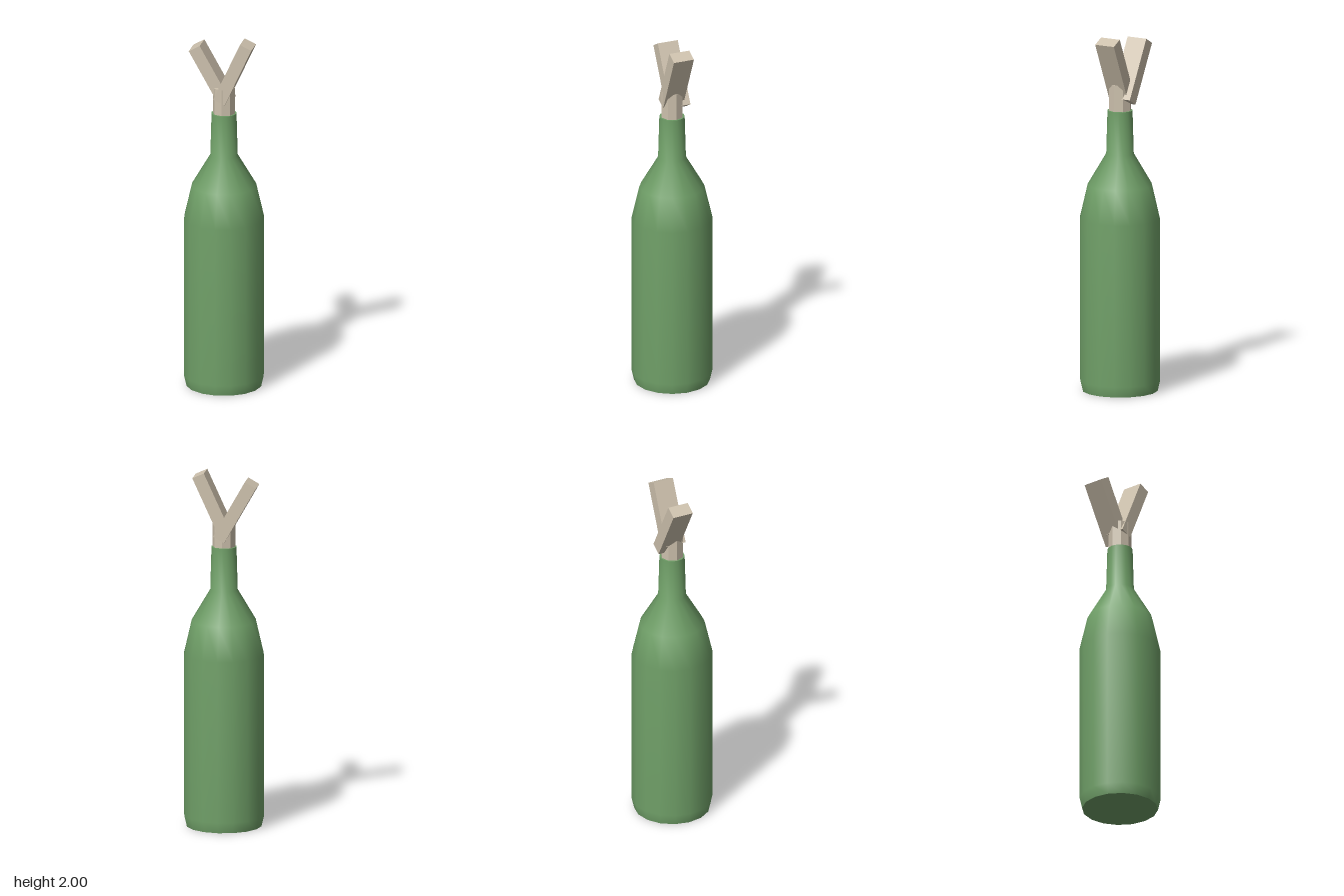
import * as THREE from 'three';

export function createModel() {
  const model = new THREE.Group();
  const glass = new THREE.MeshStandardMaterial({ color: 0x70a068 });
  glass.name = 'green glass';
  const cloth = new THREE.MeshStandardMaterial({ color: 0xcdc1ad });
  cloth.name = 'beige cloth';

  function add(name, geometry, material, x = 0, y = 0, z = 0) {
    const mesh = new THREE.Mesh(geometry, material);
    mesh.name = name;
    mesh.position.set(x, y, z);
    model.add(mesh);
    return mesh;
  }

  // Bottle: smooth 16-sided wall with flat ends
  const profile = [
    [0.21, 0], [0.224, 0.06], [0.224, 0.97], [0.18, 1.16], [0.077, 1.335], [0.07, 1.58],
  ].map(([r, y]) => new THREE.Vector2(r, y));
  add('bottleWall', new THREE.LatheGeometry(profile, 16), glass);
  add('bottleBase', new THREE.CircleGeometry(0.21, 16).rotateX(Math.PI / 2), glass);
  add('bottleMouth', new THREE.CircleGeometry(0.07, 16).rotateX(-Math.PI / 2), glass, 0, 1.58);

  // Stopper: faceted plug standing in the mouth
  const plug = new THREE.CylinderGeometry(0.063, 0.063, 0.17, 8).toNonIndexed();
  plug.computeVertexNormals();
  add('stopper', plug, cloth, 0, 1.645, 0);

  // Two cloth ends leaning apart
  const strip = new THREE.BoxGeometry(0.071, 0.363, 0.12);
  add('leftClothEnd', strip, cloth, 0.06, 1.822, 0).rotation.z = -0.43;
  add('rightClothEnd', strip, cloth, -0.073, 1.793, -0.031).rotation.z = 0.515;

  return model;
}
